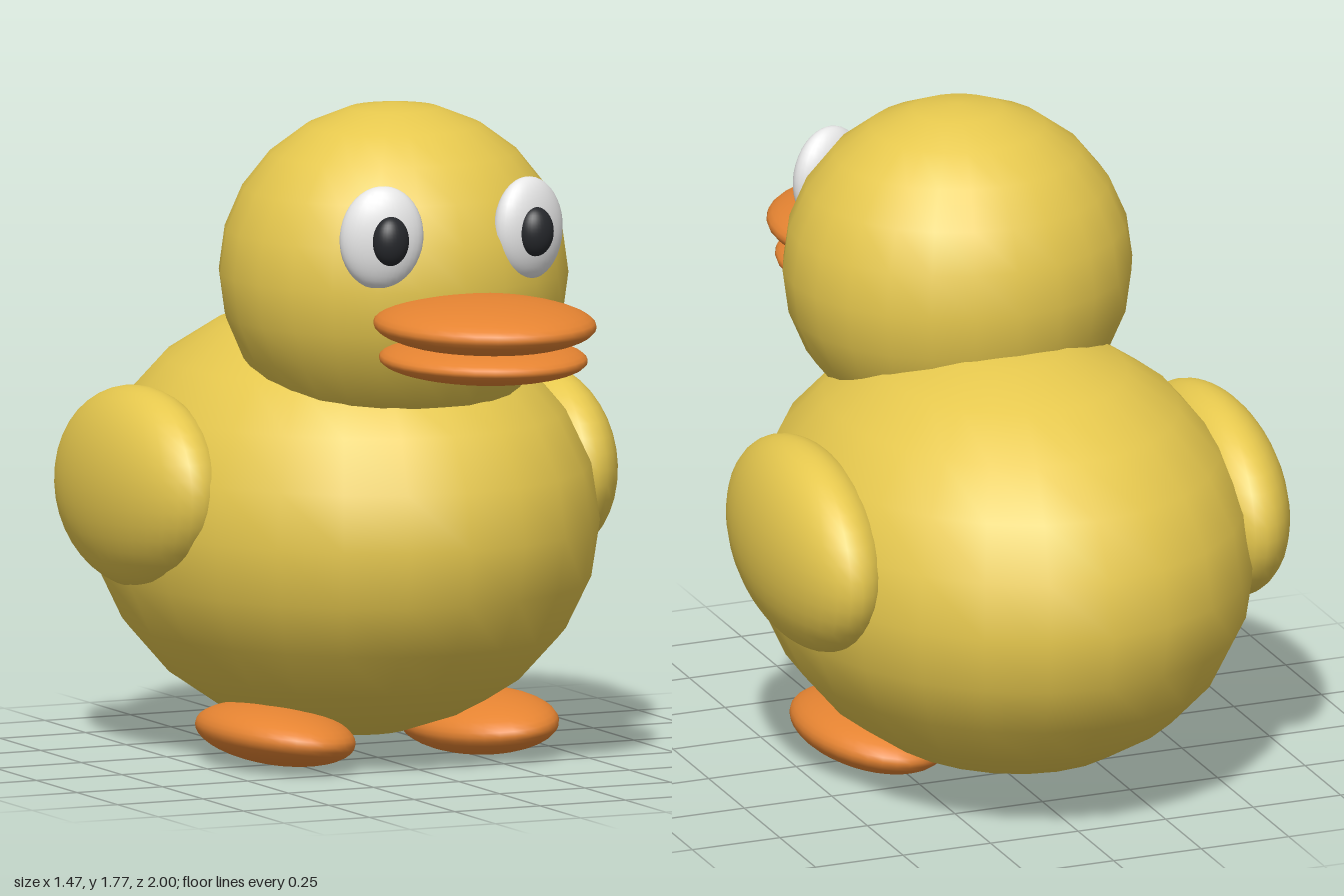
import * as THREE from 'three';

const mat = (name, color) => {
  const m = new THREE.MeshStandardMaterial({ color });
  m.name = name;
  return m;
};

export function createModel() {
  const yellow = mat('plumage yellow', 0xe6c84e);
  const orange = mat('beak orange', 0xe68432);
  const white = mat('eye white', 0xeeeeee);
  const black = mat('pupil black', 0x26282c);

  const duck = new THREE.Group();
  duck.name = 'duck';
  const sphere = new THREE.SphereGeometry(1, 24, 12);
  const fineSphere = new THREE.SphereGeometry(1, 32, 20);

  // An ellipsoid placed by centre, radii and rotation
  const blob = (name, material, pos, radii, rot = [0, 0, 0], geometry = fineSphere) => {
    const mesh = new THREE.Mesh(geometry, material);
    mesh.name = name;
    mesh.position.set(...pos);
    mesh.scale.set(...radii);
    mesh.rotation.set(...rot);
    duck.add(mesh);
  };

  // The same ellipsoid on both sides of the body
  const pair = (name, material, [x, y, z], radii, [rx, ry, rz] = [0, 0, 0]) => {
    for (const [side, s] of [['left', 1], ['right', -1]]) {
      blob(side + name, material, [s * x, y, z], radii, [rx, s * ry, s * rz]);
    }
  };

  // Body and head
  blob('body', yellow, [0, 0.63, -0.21], [0.65, 0.585, 0.79], [0, 0, 0], sphere);
  blob('head', yellow, [0, 1.32, 0.097], [0.468, 0.45, 0.45], [0, 0, 0], sphere);

  // Wings
  pair('Wing', yellow, [0.577, 0.73, -0.258], [0.16, 0.27, 0.404], [-0.06, 0, 0]);

  // Beak
  blob('upperBeak', orange, [0, 1.247, 0.66], [0.286, 0.072, 0.338]);
  blob('lowerBeak', orange, [0, 1.154, 0.65], [0.268, 0.058, 0.315]);

  // Eyes
  pair('Eye', white, [0.215, 1.468, 0.475], [0.112, 0.138, 0.058], [0, 0.3, 0.08]);
  pair('Pupil', black, [0.212, 1.465, 0.525], [0.05, 0.066, 0.042]);

  // Feet
  pair('Foot', orange, [0.298, 0.086, -0.005], [0.187, 0.08, 0.305], [0, 0, 0.1]);

  return duck;
}
